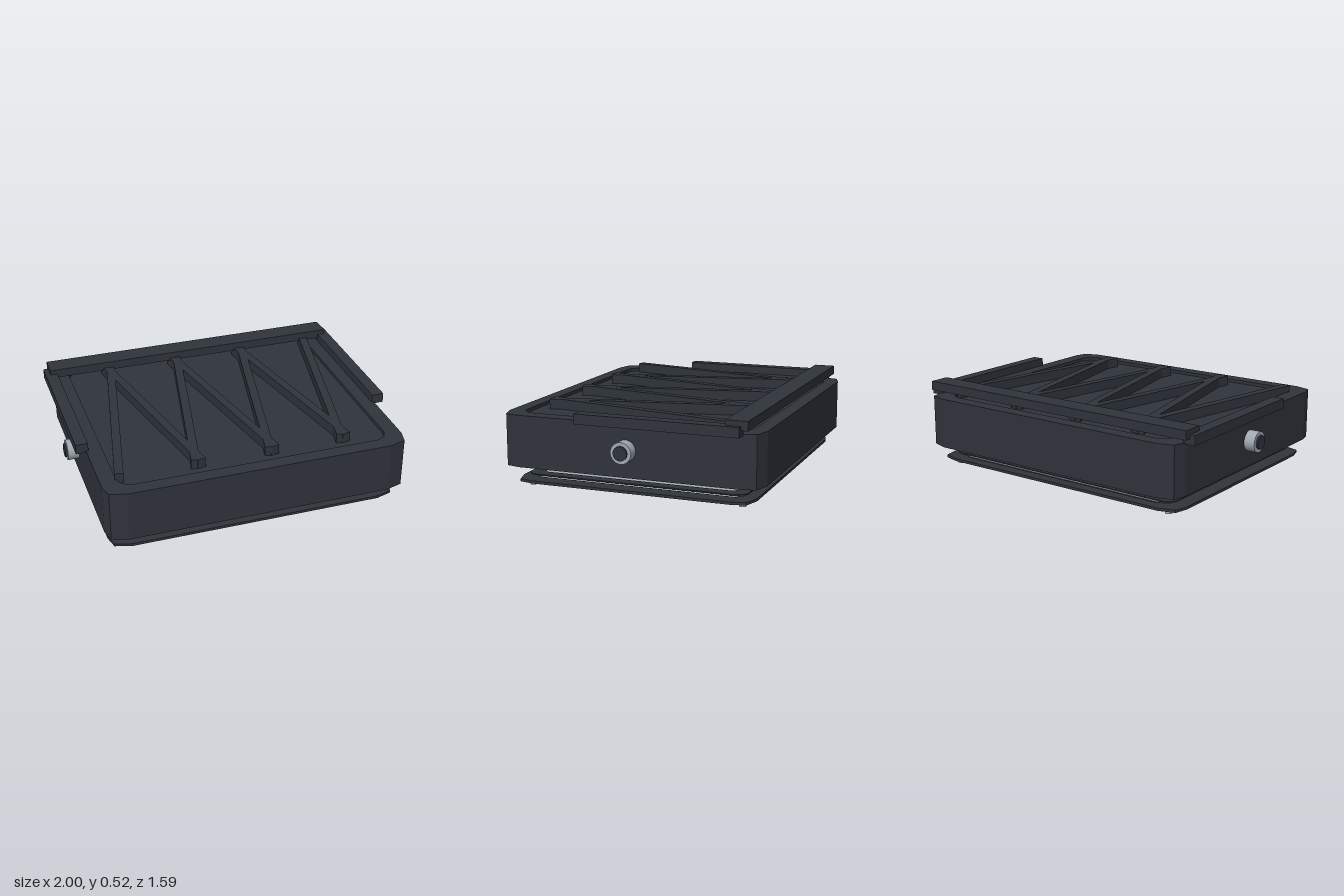
import * as THREE from 'three';

const dark = new THREE.MeshStandardMaterial({ color: 0x2f333b });
const silver = new THREE.MeshStandardMaterial({ color: 0xa0a8b0 });

// Rectangle with two-step bevelled corners, cx and cz set the corner size
function bevelled(hx, hz, cx = 0.12, cz = 0.115) {
  const corner = [[hx, hz - cz], [hx - cx * 0.17, hz - cz * 0.26], [hx - cx, hz]];
  const pts = [];
  for (const [sx, sz] of [[1, 1], [-1, 1], [-1, -1], [1, -1]]) {
    const quarter = corner.map(([x, z]) => new THREE.Vector2(x * sx, z * sz));
    pts.push(...(sx * sz > 0 ? quarter : quarter.reverse()));
  }
  return new THREE.Shape(pts);
}

// Rectangle with round corners
function rounded(hx, hz, r) {
  const s = new THREE.Shape();
  s.absarc(hx - r, hz - r, r, 0, Math.PI / 2);
  s.absarc(-hx + r, hz - r, r, Math.PI / 2, Math.PI);
  s.absarc(-hx + r, -hz + r, r, Math.PI, Math.PI * 1.5);
  s.absarc(hx - r, -hz + r, r, Math.PI * 1.5, Math.PI * 2);
  s.closePath();
  return s;
}

export function createModel() {
  const model = new THREE.Group();
  model.name = 'tabletCase';

  const add = (name, geometry, material, x = 0, y = 0, z = 0) => {
    const mesh = new THREE.Mesh(geometry, material);
    mesh.name = name;
    mesh.position.set(x, y, z);
    model.add(mesh);
    return mesh;
  };

  // Horizontal slab between two heights, with an optional opening
  const slab = (name, shape, y0, y1, material, hole) => {
    if (hole) shape.holes.push(hole);
    const g = new THREE.ExtrudeGeometry(shape, { depth: y1 - y0, bevelEnabled: false, curveSegments: 8 });
    g.rotateX(-Math.PI / 2);
    return add(name, g, material, 0, y0, 0);
  };

  // Housing with a shallow recess on top
  slab('housing', bevelled(0.92, 0.795), 0.13, 0.42, dark);
  slab('housingRim', bevelled(0.92, 0.795), 0.42, 0.44, dark, rounded(0.825, 0.71, 0.09));

  // Zigzag ribs that cross near their ends
  const step = 0.225, run = 1.1, slope = step / run;
  const length = 1.28 * Math.hypot(1, slope);
  for (let i = 0; i < 7; i++) {
    const rib = add('rib', new THREE.BoxGeometry(0.052, 0.06, length), dark,
      -0.79 + step * (i + 0.5), 0.45, 0);
    rib.rotation.y = (i % 2 ? 1 : -1) * Math.atan(slope);
  }

  // Back bar and side rails
  add('backBar', new THREE.BoxGeometry(1.9, 0.055, 0.13), dark, 0, 0.4925, -0.665);
  for (const side of [-1, 1]) {
    add('sideRail', new THREE.BoxGeometry(0.075, 0.06, 0.98), dark, side * 0.943, 0.46, -0.2);

    // Round side connector with a dark core
    const collar = new THREE.CylinderGeometry(0.063, 0.063, 0.085, 32).rotateZ(Math.PI / 2);
    add('connectorCollar', collar, silver, side * 0.945, 0.288, 0);
    const core = new THREE.CylinderGeometry(0.042, 0.042, 0.08, 32).rotateZ(Math.PI / 2);
    add('connectorCore', core, dark, side * 0.96, 0.288, 0);
  }

  // Layers under the housing
  slab('innerPlate', rounded(0.785, 0.645, 0.06), 0.121, 0.132, silver);
  slab('gasket', rounded(0.83, 0.68, 0.07), 0.066, 0.073, dark, rounded(0.76, 0.61, 0.05));
  slab('panel', rounded(0.8, 0.66, 0.05), 0.054, 0.058, silver);
  const strip = slab('panelStrip', rounded(0.75, 0.13, 0.05), 0.045, 0.054, dark);
  strip.position.z = -0.53;
  slab('bottomFrame', bevelled(0.89, 0.73), 0.03, 0.046, dark, rounded(0.785, 0.645, 0.06));

  // Corner screws
  for (const x of [-0.793, 0.793])
    for (const z of [-0.653, 0.653])
      add('screw', new THREE.CylinderGeometry(0.021, 0.021, 0.014, 20), silver, x, 0.007, z);

  return model;
}
